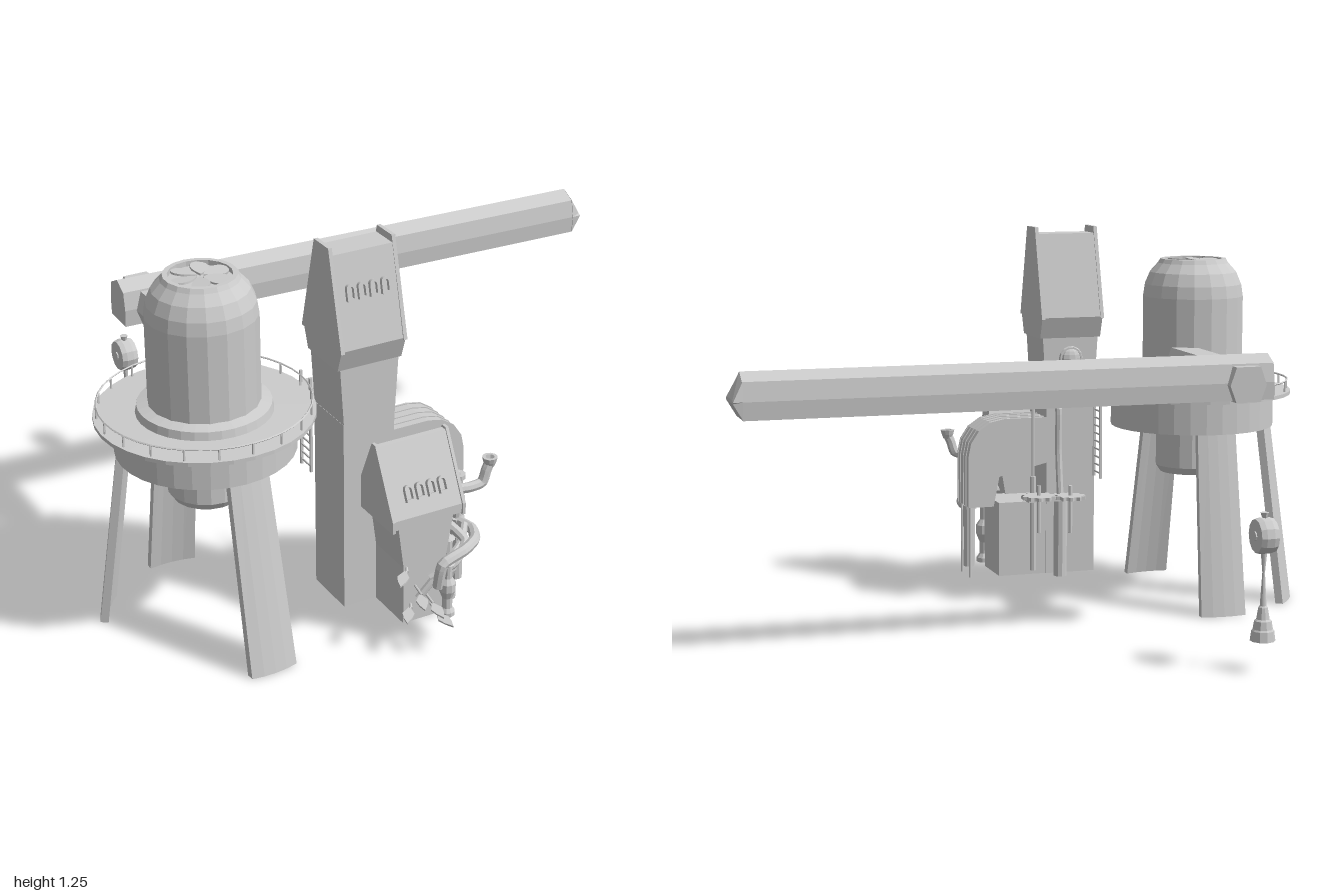
import * as THREE from 'three';

const V = (x, y, z) => new THREE.Vector3(x, y, z);

export function createModel() {
  const root = new THREE.Group();
  const mat = new THREE.MeshStandardMaterial({ color: 0xcccccc, flatShading: true, side: THREE.DoubleSide });

  function add(name, geo, x = 0, y = 0, z = 0, parent = root) {
    const m = new THREE.Mesh(geo, mat);
    m.name = name;
    m.position.set(x, y, z);
    parent.add(m);
    return m;
  }
  const lathe = (pts, n) => new THREE.LatheGeometry(pts.map(p => new THREE.Vector2(...p)), n);
  const polygon = pts => new THREE.Shape(pts.map(p => new THREE.Vector2(...p)));
  const extrude = (shape, depth) => new THREE.ExtrudeGeometry(shape, { depth, bevelEnabled: false, curveSegments: 8 });
  // box given by its limits
  const box = (name, x0, x1, y0, y1, z0, z1) =>
    add(name, new THREE.BoxGeometry(x1 - x0, y1 - y0, z1 - z0), (x0 + x1) / 2, (y0 + y1) / 2, (z0 + z1) / 2);
  // profile in (z, y), extruded along x
  const alongX = (name, pts, x0, x1) =>
    add(name, extrude(polygon(pts), x1 - x0).rotateY(-Math.PI / 2), x1, 0, 0);
  const pole = (name, x, z, y0, y1, r, n = 8) =>
    add(name, new THREE.CylinderGeometry(r, r, y1 - y0, n), x, (y0 + y1) / 2, z);
  const pipe = (name, pts, r) => add(name, new THREE.TubeGeometry(
    new THREE.CatmullRomCurve3(pts.map(p => V(...p)), false, 'catmullrom', 0.3), pts.length * 5, r, 8));

  // ---- water tank on a round platform ----
  const tank = new THREE.Group();
  tank.name = 'tank';
  tank.position.set(-0.667, 0, 0.245);
  root.add(tank);
  add('tankBody', lathe([[0, 0.427], [0.105, 0.427], [0.12, 0.45], [0.12, 0.6], [0.168, 0.72], [0.168, 1.02], [0.162, 1.06],
    [0.145, 1.1], [0.118, 1.13], [0.11, 1.144], [0.095, 1.144], [0.095, 1.128], [0, 1.128]], 18), 0, 0, 0, tank);
  add('platform', lathe([[0.12, 0.587], [0.272, 0.587], [0.272, 0.695], [0.33, 0.695], [0.33, 0.707],
    [0.205, 0.71], [0.2, 0.735], [0.165, 0.745]], 32), 0, 0, 0, tank);
  const petal = new THREE.Shape();
  petal.moveTo(0.01, 0);
  petal.bezierCurveTo(0.04, 0.05, 0.1, 0.045, 0.092, 0);
  petal.bezierCurveTo(0.08, -0.03, 0.04, -0.02, 0.01, 0);
  for (let i = 0; i < 6; i++) {
    add('fanBlade', extrude(petal, 0.006).rotateX(-Math.PI / 2 + 0.12), 0, 1.132, 0, tank).rotation.y = i * Math.PI / 3;
  }
  // railing
  add('handrail', new THREE.TorusGeometry(0.318, 0.003, 4, 40).rotateX(Math.PI / 2), 0, 0.742, 0, tank);
  for (let i = 0; i < 20; i++) {
    const a = i * Math.PI / 10;
    add('railPost', new THREE.BoxGeometry(0.005, 0.04, 0.005), 0.318 * Math.cos(a), 0.723, 0.318 * Math.sin(a), tank);
  }
  // leaning curved plate legs: angle in degrees, foot radius
  for (const [deg, foot] of [[86.5, 0.375], [213, 0.33], [273, 0.345]]) {
    const g = new THREE.BoxGeometry(1, 0.6, 0.025, 4, 1, 1);
    const p = g.attributes.position;
    for (let i = 0; i < p.count; i++) {
      const t = p.getY(i) / 0.6 + 0.5, x = p.getX(i) * (0.152 - 0.022 * t);
      p.setXYZ(i, x, t * 0.6, p.getZ(i) + foot + (0.25 - foot) * t - x * x * 1.6);
    }
    g.computeVertexNormals();
    add('tankLeg', g, 0, 0, 0, tank).rotation.y = Math.PI / 2 - deg * Math.PI / 180;
  }

  // ---- covered bridges ----
  const ridge = [[-0.057, 0.755], [0.057, 0.755], [0.06, 0.81], [0.05, 0.868], [0, 0.893], [-0.05, 0.868], [-0.06, 0.81]];
  const bridge = alongX('longBridge', ridge, -0.68, 0.965);
  bridge.position.z = -0.305;
  bridge.rotation.y = -0.027;
  const tip = alongX('bridgeEnd', ridge, 0.965, 0.995);
  tip.position.z = -0.305;
  const tp = tip.geometry.attributes.position;
  for (let i = 0; i < tp.count; i++) if (tp.getX(i) > -0.01) tp.setY(i, 0.81 + (tp.getY(i) - 0.81) * 0.08);
  tip.geometry.computeVertexNormals();
  add('shortBridge', extrude(polygon([[-0.04, 0.752], [0.04, 0.752], [0.06, 0.805], [0.04, 0.862], [-0.04, 0.862], [-0.06, 0.805]]), 0.55),
    -0.583, 0, -0.43);

  // ---- tall tower ----
  box('towerShaft', -0.355, -0.185, 0.08, 0.7, 0.345, 0.525);
  const neck = box('towerNeck', -0.368, -0.17, 0.7, 0.92, 0.345, 0.525);
  const np = neck.geometry.attributes.position;
  for (let i = 0; i < np.count; i++) if (np.getY(i) < 0) np.setX(i, np.getX(i) * 0.86);
  alongX('towerCollar', [[0.345, 0.88], [0.525, 0.88], [0.55, 0.95], [0.32, 0.95]], -0.374, -0.163);
  alongX('towerHead', [[0.32, 0.95], [0.55, 0.95], [0.484, 1.225], [0.392, 1.225]], -0.368, -0.168);
  for (const x of [-0.378, -0.172]) {
    alongX('towerGable', [[0.315, 0.945], [0.555, 0.945], [0.48, 1.247], [0.395, 1.247]], x, x + 0.012);
  }
  add('towerHatch', new THREE.SphereGeometry(0.035, 10, 8).scale(1, 1, 0.5), -0.27, 0.81, 0.343);
  add('hatchRim', new THREE.TorusGeometry(0.036, 0.006, 6, 14), -0.27, 0.81, 0.343);

  // ---- lower house ----
  alongX('houseHead', [[0.5, 0.42], [0.71, 0.42], [0.71, 0.45], [0.61, 0.65], [0.59, 0.65], [0.5, 0.45]], -0.29, -0.055);
  for (const x of [-0.298, -0.06]) {
    alongX('houseGable', [[0.495, 0.415], [0.716, 0.415], [0.716, 0.452], [0.61, 0.658], [0.59, 0.658], [0.495, 0.452]], x, x + 0.01);
  }
  const waist = [[-0.245, 0.27], [-0.1, 0.27], [-0.075, 0.42], [-0.265, 0.42]];
  add('houseWaist', extrude(polygon(waist), 0.185), 0, 0, 0.505);
  box('houseBase', -0.245, -0.1, 0.08, 0.28, 0.505, 0.69);
  box('annex', -0.2, -0.02, 0.08, 0.33, 0.35, 0.52);

  // arched windows on both sloping fronts
  const arch = new THREE.Shape();
  arch.moveTo(-0.013, -0.025);
  arch.lineTo(0.013, -0.025);
  arch.lineTo(0.013, 0.012);
  arch.absarc(0, 0.012, 0.013, 0, Math.PI, false);
  const rim = arch.clone();
  rim.holes.push(new THREE.Path(arch.getPoints(8).map(p => p.multiplyScalar(0.7))));
  for (const [x, y, z, tilt] of [[-0.27, 1.112, 0.505, -0.235], [-0.17, 0.513, 0.674, -0.46]]) {
    for (let i = -1.5; i < 2; i++) add('archWindow', extrude(rim, 0.018), x + i * 0.038, y, z).rotation.x = tilt;
  }

  // ---- elbow duct with ribs ----
  function elbow(out) {
    const s = new THREE.Shape();
    s.moveTo(-0.185, 0.612 + out);
    s.lineTo(-0.04, 0.612 + out);
    for (let i = 0; i <= 4; i++) {
      const a = Math.PI / 2 * (1 - i / 4);
      s.lineTo(-0.04 + (0.125 + out) * Math.cos(a), 0.487 + (0.125 + out) * Math.sin(a));
    }
    s.lineTo(0.085 + out, 0.32);
    s.lineTo(0, 0.32);
    s.lineTo(-0.02, 0.42);
    s.lineTo(-0.185, 0.46);
    return s;
  }
  add('duct', extrude(elbow(0), 0.125), 0, 0, 0.35);
  for (const z of [0.345, 0.378, 0.411, 0.444, 0.473]) add('ductRib', extrude(elbow(0.003), 0.006), 0, 0, z);
  for (const z of [0.36, 0.46]) pole('ductProp', 0.078, z, 0.08, 0.34, 0.004, 6);
  pole('mast', -0.13, 0.32, 0.4, 0.68, 0.006);

  // ---- pipework ----
  pipe('hornPipe', [[-0.08, 0.46, 0.63], [0, 0.455, 0.645], [0.05, 0.46, 0.645], [0.065, 0.5, 0.645], [0.075, 0.52, 0.645]], 0.016);
  add('hornBell', lathe([[0.014, 0], [0.02, 0.015], [0.024, 0.03], [0.014, 0.03]], 10), 0.076, 0.51, 0.645);
  pipe('tallPipe', [[-0.08, 0.46, 0.54], [0, 0.46, 0.54], [0.028, 0.44, 0.54], [0.03, 0.38, 0.54], [0.03, 0.28, 0.54]], 0.014);
  pole('tallPipeBase', 0.03, 0.54, 0.08, 0.29, 0.02, 10);
  for (const y of [0.28, 0.35, 0.43]) pole('pipeCollar', 0.03, 0.54, y, y + 0.014, 0.025, 10);
  pipe('loopPipe', [[0.03, 0.28, 0.54], [0.035, 0.29, 0.62], [0, 0.3, 0.69], [-0.06, 0.3, 0.73], [-0.14, 0.28, 0.74], [-0.15, 0.2, 0.73]], 0.017);
  pipe('innerPipe', [[-0.1, 0.33, 0.58], [-0.05, 0.33, 0.6], [-0.02, 0.29, 0.67], [-0.09, 0.26, 0.72], [-0.16, 0.22, 0.7]], 0.015);
  pipe('lowPipe', [[0.02, 0.3, 0.6], [-0.03, 0.28, 0.66], [-0.12, 0.25, 0.71], [-0.2, 0.16, 0.7]], 0.012);
  const urn = [[0, 0], [0.03, 0], [0.03, 0.015], [0.02, 0.03], [0.02, 0.07], [0.032, 0.1], [0.032, 0.13], [0.018, 0.15], [0.018, 0.2], [0.026, 0.205], [0, 0.22]];
  add('urnValve', lathe(urn, 10), -0.05, 0.075, 0.615);
  add('smallUrnValve', lathe(urn, 10).scale(0.8, 0.85, 0.8), -0.12, 0.1, 0.735);

  // pointed leaves at the front
  const leaf = polygon([[0, 0], [0.018, 0.035], [0.012, 0.06], [0, 0.085], [-0.012, 0.06], [-0.018, 0.035]]);
  [[-0.245, 0.27, 0.7, -0.7], [-0.215, 0.2, 0.735, -0.35], [-0.18, 0.165, 0.745, -0.1], [-0.16, 0.12, 0.74, 0.1], [-0.23, 0.14, 0.7, -0.6]]
    .forEach(([x, y, z, turn]) => {
      add('leaf', extrude(leaf, 0.005).rotateX(Math.PI / 2 + 0.05), x, y, z).rotation.y = turn;
      pipe('stem', [[x, y, z + 0.01], [x + 0.01, y, 0.69], [x + 0.02, y, 0.66]], 0.004);
    });

  // ---- gears, rear pipes and ladder ----
  for (const [x, z, r] of [[-0.23, 0.225, 0.042], [-0.13, 0.255, 0.048]]) {
    const teeth = [];
    for (let i = 0; i < 40; i++) {
      const a = i * Math.PI / 20, q = i % 4 < 2 ? r + 0.01 : r;
      teeth.push([q * Math.cos(a), q * Math.sin(a)]);
    }
    add('gear', extrude(polygon(teeth), 0.012).rotateX(-Math.PI / 2), x, 0.355, z);
    pole('gearShaft', x, z, 0.24, 0.4, 0.007);
  }
  pole('rearPipe', -0.22, 0.3, 0.08, 0.36, 0.022, 10);
  pole('rearPipeCollar', -0.22, 0.3, 0.34, 0.355, 0.028, 10);
  pipe('rearUpperPipe', [[-0.22, 0.34, 0.3], [-0.22, 0.5, 0.32], [-0.22, 0.64, 0.32], [-0.22, 0.67, 0.34]], 0.012);
  pole('rearThinPipe', -0.13, 0.32, 0.1, 0.42, 0.01);
  box('rearShelf', -0.24, -0.1, 0.34, 0.35, 0.27, 0.36);
  for (const z of [0.213, 0.275]) box('ladderRail', -0.335, -0.327, 0.42, 0.74, z - 0.004, z + 0.004);
  for (let i = 0; i < 11; i++) box('ladderRung', -0.333, -0.329, 0.435 + i * 0.026, 0.44 + i * 0.026, 0.213, 0.275);
  box('ladderLanding', -0.34, -0.28, 0.69, 0.7, 0.2, 0.27);

  // ---- separate drum beacon on a flared stand ----
  const beacon = new THREE.Group();
  beacon.name = 'beacon';
  beacon.position.set(-0.49, 0, -0.775);
  root.add(beacon);
  add('beaconStand', lathe([[0, 0.095], [0.038, 0.095], [0.034, 0.125], [0.03, 0.13], [0.026, 0.155], [0.02, 0.16], [0.014, 0.195],
    [0.01, 0.2], [0.004, 0.3], [0.01, 0.365], [0, 0.37]], 10), 0, 0, 0, beacon);
  add('beaconDrum', lathe([[0, -0.028], [0.05, -0.028], [0.055, -0.012], [0.055, 0.012], [0.05, 0.028], [0, 0.028]], 12)
    .rotateZ(Math.PI / 2), 0, 0.41, 0, beacon);
  add('beaconHub', new THREE.CylinderGeometry(0.014, 0.014, 0.064, 8).rotateZ(Math.PI / 2), 0, 0.41, 0, beacon);
  add('beaconCap', new THREE.CylinderGeometry(0.013, 0.008, 0.016, 8), 0, 0.471, 0, beacon);

  return root;
}
